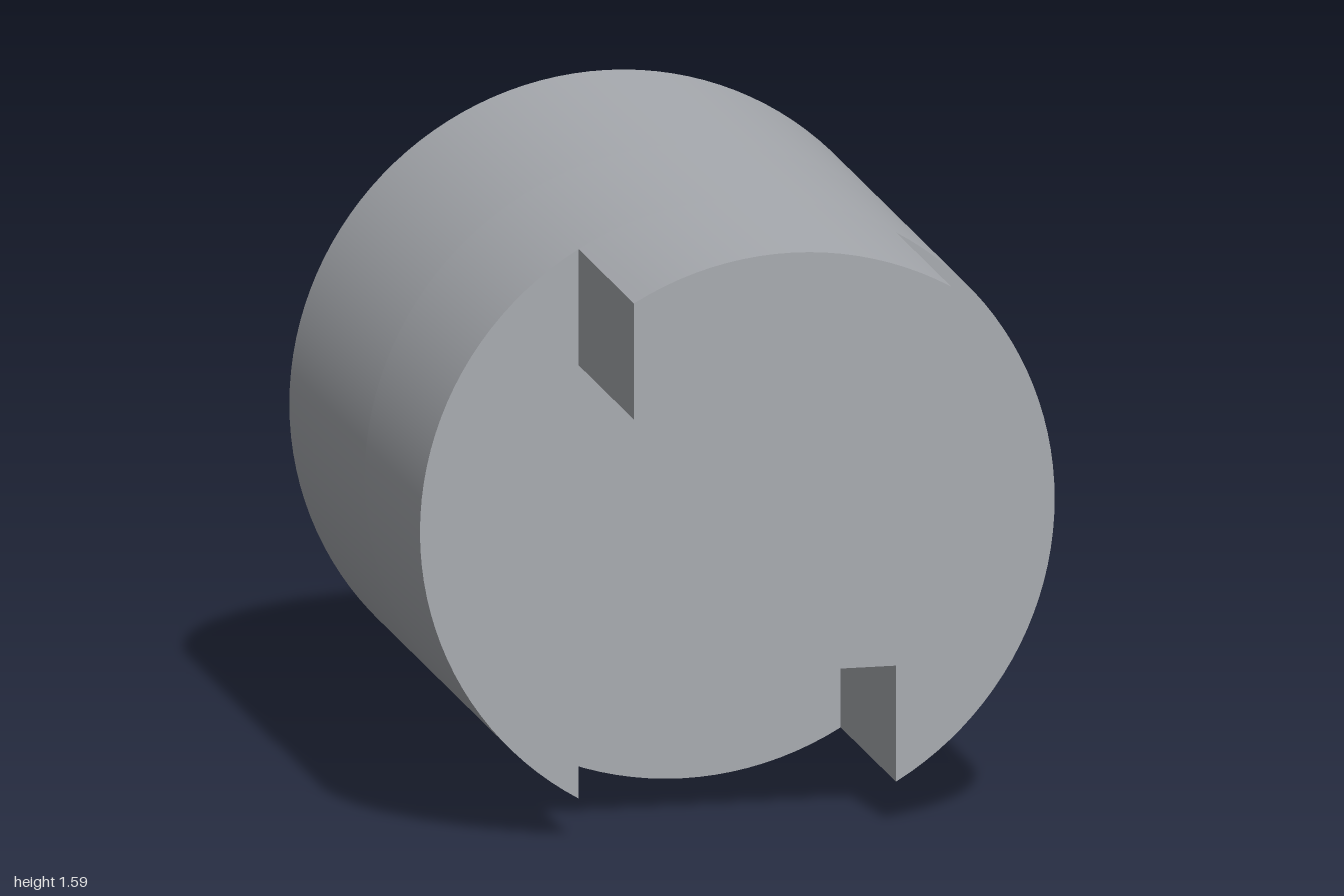
import * as THREE from 'three';
import { toCreasedNormals } from 'three/addons/utils/BufferGeometryUtils.js';

const R = 0.793;       // cylinder radius, also the height of its axis
const HALF = R / 2;    // half width of key and slot, and their distance from the axis
const STEP = Math.PI / 3;

export function createModel() {
  const group = new THREE.Group();
  group.name = 'keyedCylinder';
  const grey = new THREE.MeshStandardMaterial({ color: 0xa8abb0 });
  grey.name = 'grey';

  // Extrudes a profile along z, keeping the round wall smooth
  function addPart(name, shape, z0, z1, curveSegments) {
    const geometry = new THREE.ExtrudeGeometry(shape, {
      depth: z1 - z0, bevelEnabled: false, curveSegments,
    });
    const mesh = new THREE.Mesh(toCreasedNormals(geometry, 0.4), grey);
    mesh.name = name;
    mesh.position.set(0, R, z0);
    group.add(mesh);
  }

  // Full round body at the back
  const disc = new THREE.Shape();
  disc.absarc(0, 0, R, 0, Math.PI * 2, false);
  addPart('body', disc, -1, -0.19, 60);

  // Front of the body with a slot cut from the bottom
  const slotted = new THREE.Shape();
  slotted.absarc(0, 0, R, -STEP, 4 * STEP, false);
  slotted.lineTo(-HALF, -HALF);
  slotted.lineTo(HALF, -HALF);
  slotted.closePath();
  addPart('slottedBody', slotted, -0.19, 0.405, 50);

  // Key projecting forward at the top
  const key = new THREE.Shape();
  key.absarc(0, 0, R, STEP, 2 * STEP, false);
  key.lineTo(-HALF, HALF);
  key.lineTo(HALF, HALF);
  key.closePath();
  addPart('key', key, 0.405, 1, 10);

  return group;
}
